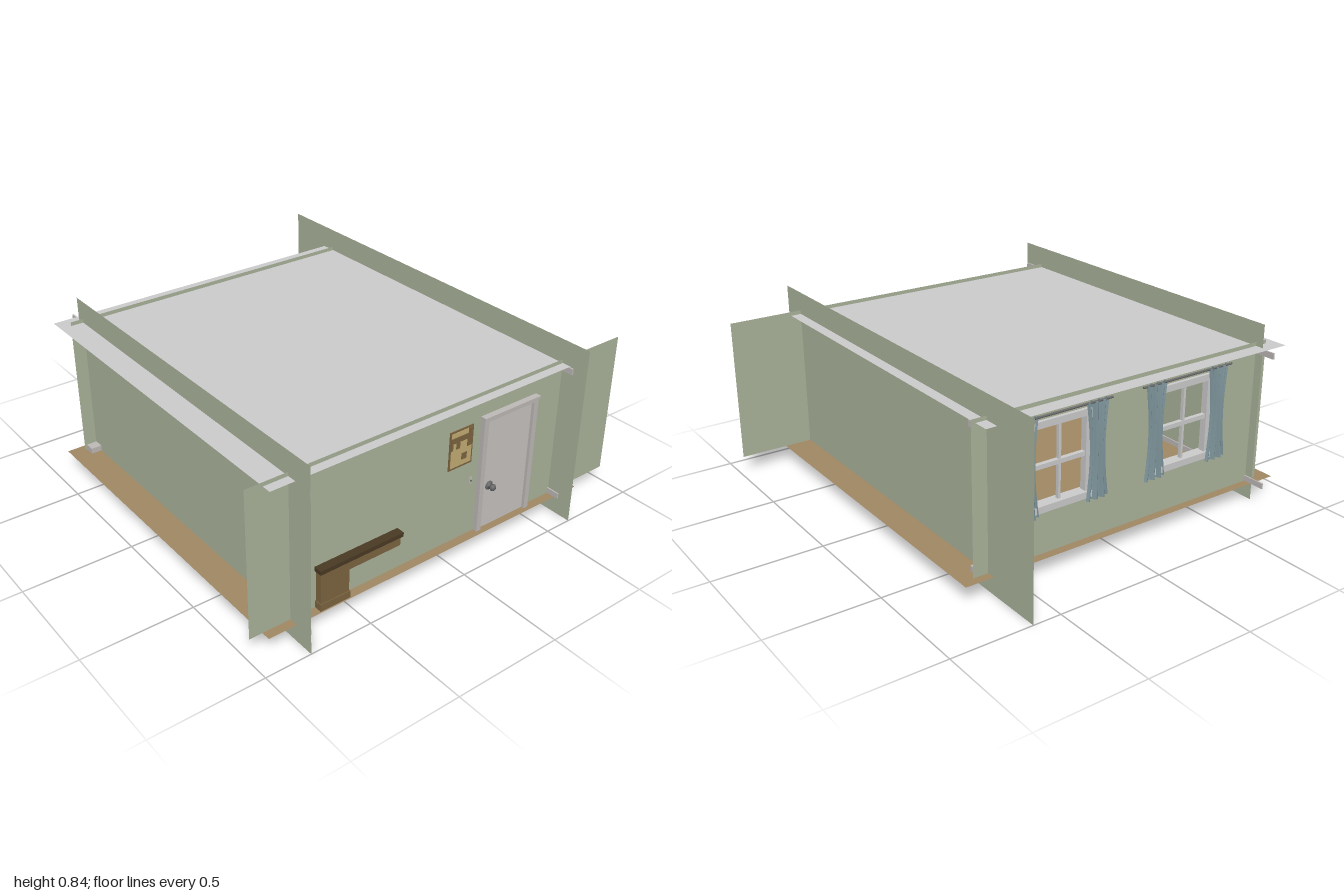
import * as THREE from 'three';

const mat = (color) => new THREE.MeshStandardMaterial({ color, side: THREE.DoubleSide });
const M = {
  wall: mat(0xaab49c), grey: mat(0xcccccc), floor: mat(0xa08863), door: mat(0xc8c3c1),
  trim: mat(0xbdb9b7), wood: mat(0x7d6540), darkWood: mat(0x4a3a24), tan: mat(0xc4ad74),
  curtain: mat(0x7f969c), metal: mat(0x6a6a6a), rug: mat(0x6b6048), paper: mat(0x8a8468),
};

export function createModel() {
  const room = new THREE.Group();
  room.name = 'room';

  const add = (parent, name, geometry, material) => {
    const mesh = new THREE.Mesh(geometry, material);
    mesh.name = name;
    parent.add(mesh);
    return mesh;
  };
  const group = (name) => {
    const g = new THREE.Group();
    g.name = name;
    room.add(g);
    return g;
  };
  // Box given by its two extents on each axis
  const box = (parent, name, material, x0, x1, y0, y1, z0, z1) => {
    const m = add(parent, name, new THREE.BoxGeometry(x1 - x0, y1 - y0, z1 - z0), material);
    m.position.set((x0 + x1) / 2, (y0 + y1) / 2, (z0 + z1) / 2);
    return m;
  };
  // Thin sheets: upright across x, upright along z, and level
  const sheetX = (name, x0, x1, y0, y1, z) => add(room, name,
    new THREE.PlaneGeometry(x1 - x0, y1 - y0).translate((x0 + x1) / 2, (y0 + y1) / 2, z), M.wall);
  const level = (parent, name, material, x0, x1, y, z0, z1) => add(parent, name,
    new THREE.PlaneGeometry(x1 - x0, z1 - z0).rotateX(-Math.PI / 2)
      .translate((x0 + x1) / 2, y, (z0 + z1) / 2), material);
  const rect = (path, z0, z1, y0, y1) => {
    path.moveTo(z0, y0);
    path.lineTo(z1, y0);
    path.lineTo(z1, y1);
    path.lineTo(z0, y1);
    path.closePath();
    return path;
  };

  // Overlapping wall sheets, floor and ceiling
  const windows = [-0.29, 0.37];
  const win = { half: 0.14, y0: 0.3, y1: 0.65 };
  const rightX = 0.868, leftX = -0.7;
  sheetX('frontWall', -0.74, 1, 0, 0.84, 0.79);
  sheetX('backWall', -1, 1, 0, 0.84, -0.63);
  const sideWall = (name, x, z0, z1, holes) => {
    const shape = rect(new THREE.Shape(), z0, z1, 0.08, 0.75);
    holes.forEach((c) => shape.holes.push(
      rect(new THREE.Path(), c - win.half, c + win.half, win.y0, win.y1)));
    add(room, name, new THREE.ShapeGeometry(shape).rotateY(-Math.PI / 2).translate(x, 0, 0), M.wall);
  };
  sideWall('doorWall', rightX, -0.98, 0.98, []);
  sideWall('windowWall', leftX, -0.7, 0.85, windows);
  level(room, 'floor', M.floor, -0.74, 0.91, 0.08, -0.76, 0.92);
  level(room, 'ceiling', M.grey, -0.77, 0.91, 0.732, -0.68, 0.9);

  // Baseboards and crown mouldings
  const mouldings = group('mouldings');
  for (const [name, y0, y1] of [['baseboard', 0.082, 0.108], ['crownMoulding', 0.702, 0.73]]) {
    box(mouldings, name, M.trim, -0.81, 0.99, y0, y1, 0.782, 0.789);
    box(mouldings, name, M.trim, -0.7, 0.93, y0, y1, -0.629, -0.622);
    box(mouldings, name, M.trim, -0.698, -0.65, y0, y1, -0.68, 0.84);
    box(mouldings, name, M.trim, 0.845, 0.866, y0, y1, -0.62, 0.78);
  }

  // Door with frame, panel and round knob
  const door = group('door');
  box(door, 'doorPanel', M.door, 0.85, 0.876, 0.08, 0.612, -0.455, -0.195);
  for (const z of [-0.18, -0.465]) {
    box(door, 'doorJamb', M.trim, 0.848, 0.89, 0.08, 0.615, z - 0.012, z + 0.012);
  }
  box(door, 'doorHead', M.trim, 0.848, 0.89, 0.612, 0.63, -0.477, -0.168);
  box(door, 'doorCap', M.trim, 0.846, 0.896, 0.628, 0.637, -0.482, -0.165);
  const knobProfile = [[0, 0.036], [0.011, 0.034], [0.016, 0.026], [0.012, 0.018], [0.006, 0.015],
    [0.006, 0.006], [0.021, 0.004], [0.021, 0]].map(([r, h]) => new THREE.Vector2(r, h));
  const knob = add(door, 'doorKnob', new THREE.LatheGeometry(knobProfile, 16), M.metal);
  knob.rotation.z = -Math.PI / 2;
  knob.position.set(0.875, 0.283, -0.235);

  // Light switch beside the door
  box(room, 'lightSwitch', M.trim, 0.862, 0.87, 0.332, 0.36, -0.138, -0.122);
  box(room, 'switchLever', M.metal, 0.868, 0.876, 0.342, 0.348, -0.132, -0.128);

  // Notice board with paper blocks
  const board = group('noticeBoard');
  box(board, 'boardBack', M.wood, 0.855, 0.872, 0.44, 0.62, -0.124, 0.004);
  box(board, 'boardSheet', M.tan, 0.86, 0.874, 0.45, 0.612, -0.116, -0.004);
  for (const [y0, y1, z0, z1] of [[0.565, 0.59, -0.118, -0.002], [0.535, 0.567, -0.05, -0.03],
    [0.53, 0.567, -0.118, -0.09], [0.535, 0.567, -0.012, -0.002], [0.475, 0.505, -0.09, -0.062],
    [0.59, 0.612, -0.118, -0.095]]) {
    box(board, 'boardPatch', M.wood, 0.865, 0.876, y0, y1, z0, z1);
  }

  // Desk with one pedestal and a drawer rail
  const desk = group('desk');
  box(desk, 'deskTop', M.darkWood, 0.68, 0.907, 0.257, 0.276, 0.262, 0.675);
  box(desk, 'deskPedestal', M.wood, 0.69, 0.9, 0.08, 0.257, 0.53, 0.668);
  box(desk, 'deskPlinth', M.wood, 0.685, 0.904, 0.08, 0.112, 0.526, 0.672);
  box(desk, 'deskRail', M.wood, 0.69, 0.9, 0.215, 0.257, 0.272, 0.53);

  // Sash windows
  const frames = group('windows');
  for (const c of windows) {
    const { half, y0, y1 } = win;
    const a = leftX - 0.016, b = leftX + 0.016;
    for (const s of [-1, 1]) {
      const z = c + s * half;
      box(frames, 'windowJamb', M.grey, a, b, y0, y1, z - 0.015, z + 0.015);
    }
    box(frames, 'windowHead', M.grey, a, b, y1 - 0.01, y1 + 0.02, c - half - 0.015, c + half + 0.015);
    box(frames, 'windowSill', M.grey, a - 0.01, b + 0.01, y0 - 0.02, y0 + 0.01, c - half - 0.025, c + half + 0.025);
    box(frames, 'sashRail', M.grey, a + 0.006, b - 0.006, 0.465, 0.485, c - half, c + half);
    box(frames, 'windowMullion', M.grey, a + 0.008, b - 0.008, y0, y1, c - 0.006, c + 0.006);
  }

  // Pleated curtains at both sides of each window
  const curtains = group('curtains');
  for (const c of windows) {
    for (const s of [-1, 1]) {
      const geo = new THREE.PlaneGeometry(1, 0.43, 24, 10);
      const p = geo.attributes.position;
      for (let i = 0; i < p.count; i++) {
        const u = p.getX(i), y = p.getY(i) + 0.485;
        const low = (0.7 - y) / 0.43;
        const width = 0.115 - 0.035 * Math.sin(Math.PI * low);
        p.setXYZ(i, -0.724 - 0.008 * low + 0.012 * Math.sin(u * Math.PI * 6), y,
          c + s * 0.175 + u * width);
      }
      geo.computeVertexNormals();
      add(curtains, 'curtain', geo, M.curtain);
    }
    const rod = add(curtains, 'curtainRod', new THREE.CylinderGeometry(0.005, 0.005, 0.5, 10), M.metal);
    rod.rotation.x = Math.PI / 2;
    rod.position.set(-0.724, 0.695, c);
  }

  // Rug and loose sheets lying on the floor
  const rug = box(room, 'rug', M.rug, -0.25, 0.25, 0.0785, 0.083, -0.2, 0.2);
  rug.position.set(0.22, 0.0808, -0.14);
  rug.rotation.y = 0.15;
  for (const [x, z, turn] of [[-0.5, -0.12, 0.3], [-0.6, -0.08, 0.9], [-0.62, -0.26, 0.5]]) {
    const sheet = box(room, 'looseSheet', M.paper, -0.05, 0.05, 0.0785, 0.082, -0.035, 0.035);
    sheet.position.set(x, 0.08, z);
    sheet.rotation.y = turn;
  }
  return room;
}
